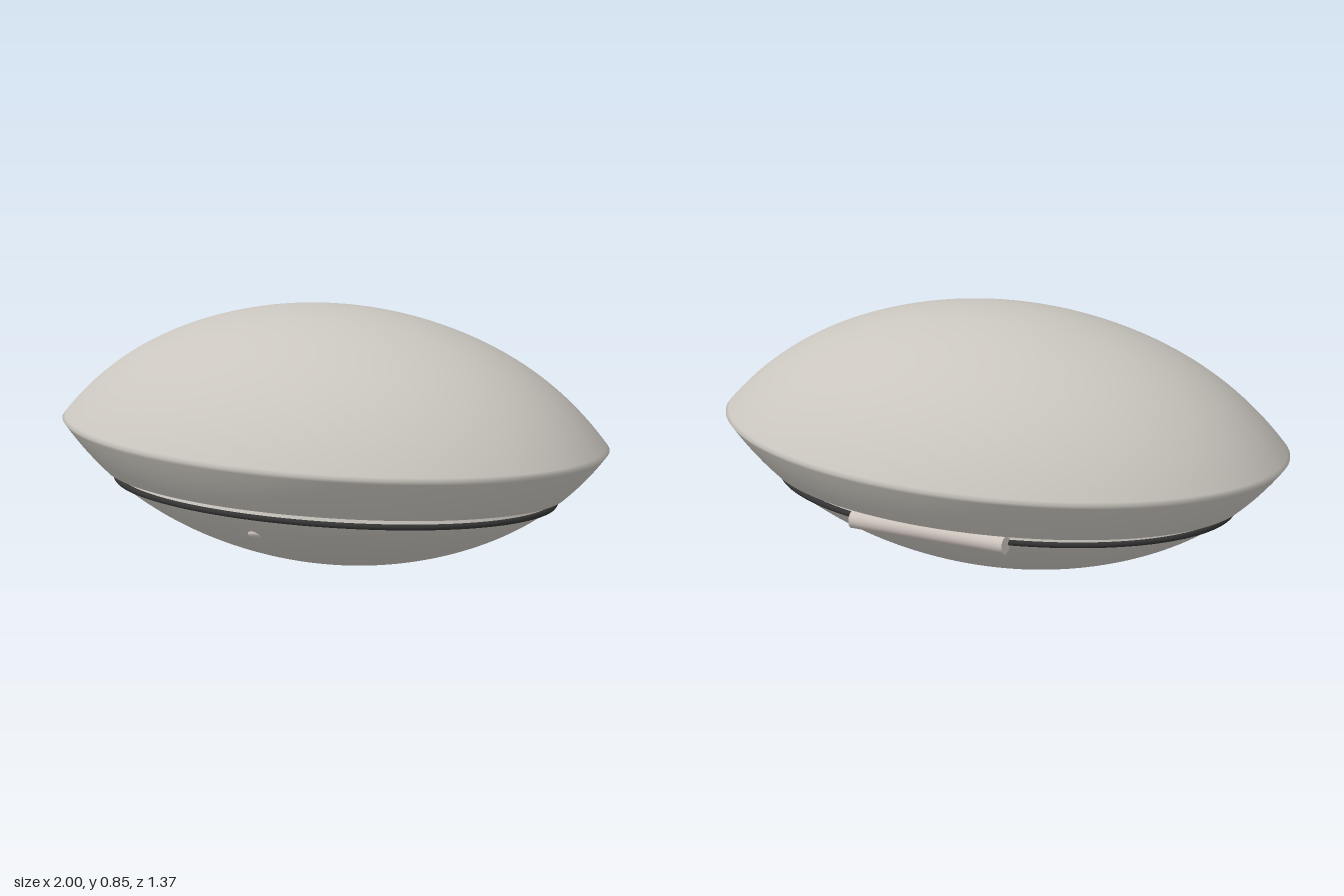
import * as THREE from 'three';

const DEPTH = 0.686; // oval footprint: depth relative to width
const drop = (r) => 0.33 * r * r + 0.095 * r ** 6; // shell curve

export function createModel() {
  const shell = new THREE.MeshStandardMaterial({ color: 0xcac6bf });
  shell.name = 'warm grey shell';
  const seal = new THREE.MeshStandardMaterial({ color: 0x343434 });
  seal.name = 'dark seal';
  const fitting = new THREE.MeshStandardMaterial({ color: 0xcfc5bf });
  fitting.name = 'pale fitting';

  const group = new THREE.Group();
  group.name = 'ovalCase';
  const add = (name, geometry, material) => {
    const mesh = new THREE.Mesh(geometry, material);
    mesh.name = name;
    group.add(mesh);
    return mesh;
  };
  const ovalLathe = (points) =>
    new THREE.LatheGeometry(points.map(([x, y]) => new THREE.Vector2(x, y)), 128).scale(1, 1, DEPTH);
  const arc = (from, to, steps, height) =>
    Array.from({ length: steps + 1 }, (_, i) => {
      const r = from + ((to - from) * i) / steps;
      return [r, height(r)];
    });

  // Domed lid with a soft rim and an inward-curving skirt
  add('lid', ovalLathe([
    ...arc(0.843, 0.99, 8, drop),
    [1, 0.425],
    ...arc(0.99, 0, 40, (r) => 0.85 - drop(r)),
  ]), shell);

  // Flat underside of the lid
  add('lidUnderside', ovalLathe([[0.74, 0.267], [0.843, 0.267]]), shell);

  // Bowl-shaped base and the narrow neck joining it to the lid
  add('base', ovalLathe([...arc(0, 0.785, 32, drop), [0.797, 0.24]]), shell);
  add('neck', ovalLathe([[0.797, 0.24], [0.785, 0.267]]), shell);

  // Thin seal running round the seam
  const sealPath = new THREE.CatmullRomCurve3(
    Array.from({ length: 48 }, (_, i) => {
      const a = (i / 48) * Math.PI * 2;
      return new THREE.Vector3(0.801 * Math.cos(a), 0.24, 0.801 * DEPTH * Math.sin(a));
    }), true);
  add('seal', new THREE.TubeGeometry(sealPath, 160, 0.01, 10, true), seal);

  // Hinge barrel across the back
  const hinge = add('hinge', new THREE.CylinderGeometry(0.03, 0.03, 0.58, 32), fitting);
  hinge.rotation.z = Math.PI / 2;
  hinge.position.set(0, 0.238, -0.539);

  // Small round button low on the front
  const button = add('button', new THREE.SphereGeometry(0.022, 24, 16), fitting);
  button.scale.set(1, 1, 0.45);
  button.rotation.x = 0.85;
  button.position.set(0, 0.16, 0.469);

  return group;
}
